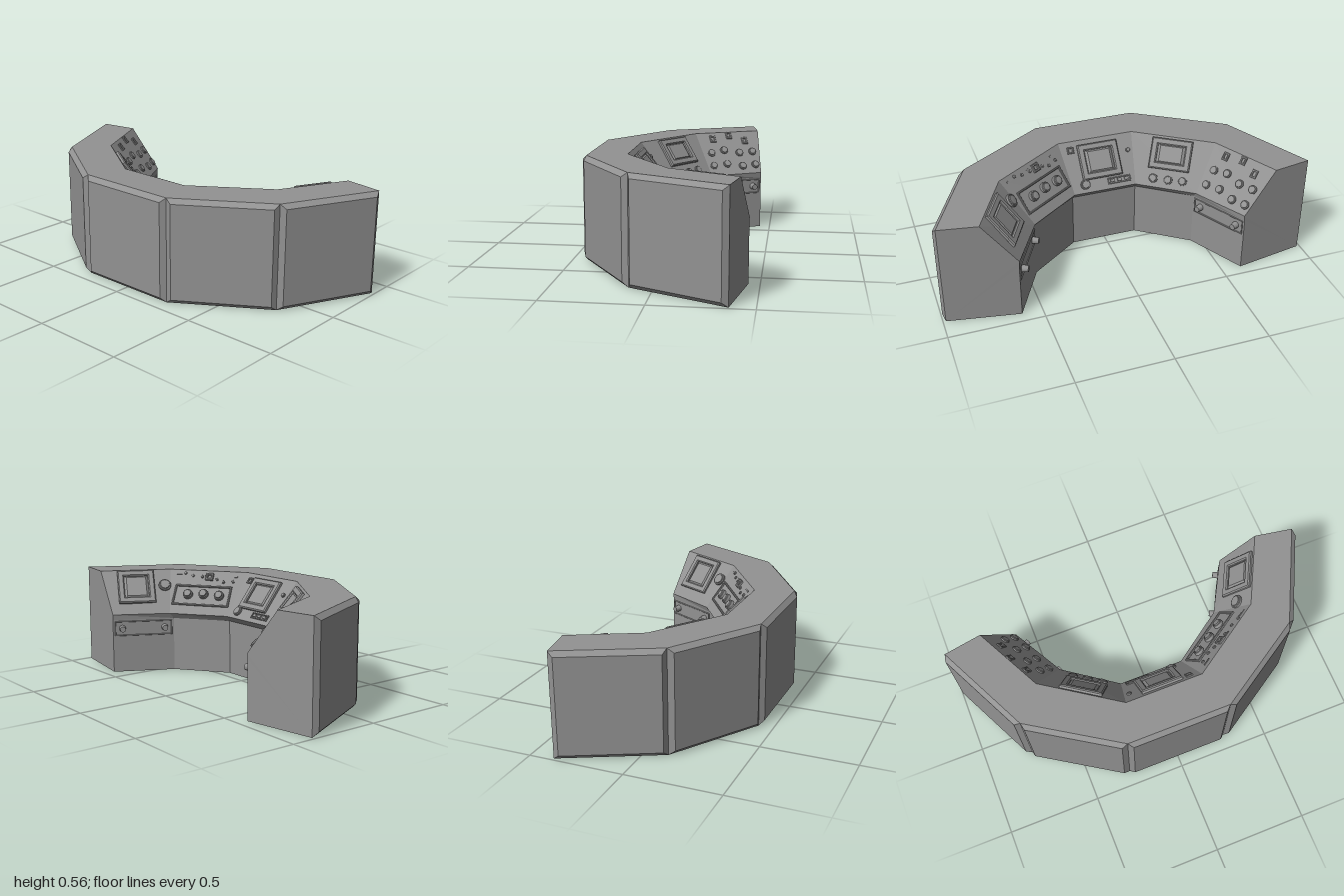
import * as THREE from 'three';

const V = (x, y, z) => new THREE.Vector3(x, y, z);
const grey = new THREE.MeshStandardMaterial({ color: 0x929292, flatShading: true, side: THREE.DoubleSide });
const TOP = 0.557, EDGE = 0.33, LIP = 0.3;

// Plan outlines [x, z] from the left end to the middle, mirrored to the right end
const mirror = (half) => [...half, ...half.slice().reverse().map(([x, z]) => [-x, z])];
const outer = mirror([[0.985, -0.376], [0.745, 0.12], [0.28, 0.42]]);
const crease = mirror([[0.782, -0.411], [0.6, -0.05], [0.21, 0.215]]);
const inner = mirror([[0.605, -0.444], [0.45, -0.163], [0.174, 0.034]]);
const wall = mirror([[0.608, -0.443], [0.448, -0.136], [0.18, 0.06]]);
const rail = (plan, y) => plan.map(([x, z]) => V(x, y, z));

function mesh(name, geometry) {
  const m = new THREE.Mesh(geometry, grey);
  m.name = name;
  return m;
}

// Flat polygons (convex corner loops) joined into one geometry
function faces(name, loops) {
  const pos = [];
  for (const p of loops)
    for (let i = 1; i < p.length - 1; i++)
      for (const q of [p[0], p[i], p[i + 1]]) pos.push(q.x, q.y, q.z);
  const g = new THREE.BufferGeometry();
  g.setAttribute('position', new THREE.Float32BufferAttribute(pos, 3));
  g.computeVertexNormals();
  return mesh(name, g);
}

// Strip of quads between an upper and a lower rail
const strip = (name, a, b) =>
  faces(name, a.slice(0, -1).map((p, i) => [p, a[i + 1], b[i + 1], b[i]]));

// Bevelled cladding panel between two outer corners
function panel(a, b) {
  const d = b.clone().sub(a).normalize();
  const out = V(-d.z, 0, d.x);
  if (out.dot(a.clone().add(b)) < 0) out.negate();
  const t = 0.024;
  const base = [a, b, b.clone().setY(TOP), a.clone().setY(TOP)];
  const face = base.map((p, i) => p.clone()
    .addScaledVector(d, i === 0 || i === 3 ? t : -t)
    .addScaledVector(out, t)
    .setY(i < 2 ? t : TOP - t));
  const loops = [face.slice().reverse()];
  for (let i = 0; i < 4; i++) {
    const j = (i + 1) % 4;
    loops.push([base[j], base[i], face[i], face[j]]);
  }
  return faces('outerPanel', loops);
}

// Local frame of a face: x along, y up the face, z outward
function frame(upper, lower, k) {
  const mid = (r) => r[k].clone().add(r[k + 1]).multiplyScalar(0.5);
  const u = upper[k + 1].clone().sub(upper[k]).normalize();
  const p = mid(lower);
  const v = mid(upper).sub(p);
  v.addScaledVector(u, -v.dot(u)).normalize();
  const n = u.clone().cross(v);
  const q = new THREE.Quaternion().setFromRotationMatrix(new THREE.Matrix4().makeBasis(u, v, n));
  return { u, n, p, q };
}

function box(name, w, h, d) {
  return mesh(name, new THREE.BoxGeometry(w, h, d).translate(0, 0, d / 2));
}

// Rectangular bezel with a hole
function bezel(name, w, h, rim, depth, b) {
  const s = new THREE.Shape();
  const rect = (path, x, y) =>
    path.moveTo(-x, -y).lineTo(x, -y).lineTo(x, y).lineTo(-x, y).closePath();
  rect(s, w / 2 - b, h / 2 - b);
  const hole = new THREE.Path();
  rect(hole, w / 2 - rim + b, h / 2 - rim + b);
  s.holes.push(hole);
  return mesh(name, new THREE.ExtrudeGeometry(s, {
    depth: depth - b, bevelEnabled: true, bevelSize: b, bevelThickness: b, bevelSegments: 1,
  }));
}

function monitor(w, h) {
  const g = new THREE.Group();
  g.name = 'monitor';
  const screen = new THREE.CylinderGeometry(0.56, 0.707, 0.012, 4, 1)
    .rotateY(Math.PI / 4).rotateX(Math.PI / 2).scale(w - 0.07, h - 0.06, 1).translate(0, 0, 0.008);
  g.add(bezel('monitorBezel', w, h, 0.036, 0.018, 0.006), mesh('screen', screen));
  return g;
}

// Round button: a low collar with a raised cap
function button(name, r, h) {
  const profile = [[r, 0], [r, h * 0.7], [r * 0.85, h * 0.8], [r * 0.75, h * 0.7],
    [r * 0.7, h], [0, h * 1.05]].map(([x, y]) => new THREE.Vector2(x, y));
  return mesh(name, new THREE.LatheGeometry(profile, 20).rotateX(Math.PI / 2));
}

export function createModel() {
  const model = new THREE.Group();
  model.name = 'controlDesk';
  const rTop = rail(outer, TOP), rCrease = rail(crease, TOP), rEdge = rail(inner, EDGE);
  const rLip = rail(wall, LIP), rFloor = rail(wall, 0), rBase = rail(outer, 0);

  // Desk shell, open underneath
  model.add(strip('deskTop', rTop, rCrease), strip('controlSlope', rCrease, rEdge),
    strip('underLip', rEdge, rLip), strip('innerWall', rLip, rFloor));
  for (let k = 0; k < 5; k++) model.add(panel(rBase[k], rBase[k + 1]));
  for (const k of [0, 5])
    model.add(faces('endCap', [[rBase[k], rTop[k], rCrease[k], rEdge[k], rLip[k], rFloor[k]]]));

  // Put an object on slope k at plan position x, z
  const slopes = [0, 1, 2, 3, 4].map((k) => frame(rCrease, rEdge, k));
  const put = (k, x, z, obj) => {
    const { n, p, q } = slopes[k];
    obj.position.set(x, p.y - (n.x * (x - p.x) + n.z * (z - p.z)) / n.y, z);
    obj.quaternion.copy(q);
    model.add(obj);
  };

  // Left end: monitor and dial
  put(0, 0.63, -0.268, monitor(0.21, 0.21));
  put(0, 0.56, -0.12, button('dial', 0.036, 0.018));

  // Left bay: framed button panel, lamps and switches
  put(1, 0.355, -0.005, bezel('buttonPanelFrame', 0.34, 0.13, 0.01, 0.01, 0.003));
  for (const [x, z] of [[0.27, 0.055], [0.35, 0.005], [0.425, -0.05]])
    put(1, x, z, button('panelButton', 0.028, 0.024));
  for (const [x, z] of [[0.25, 0.14], [0.295, 0.105], [0.335, 0.09], [0.415, 0.045], [0.465, 0.015], [0.51, -0.005]])
    put(1, x, z, button('lamp', 0.009, 0.008));
  put(1, 0.378, 0.07, bezel('squareKey', 0.045, 0.045, 0.012, 0.012, 0.003));
  for (const [x, z] of [[0.262, 0.155], [0.415, 0.054], [0.54, -0.03]])
    put(1, x, z, box('labelBar', 0.045, 0.008, 0.003));

  // Centre bay: monitor, key row, knob and small switches
  put(2, 0, 0.137, monitor(0.225, 0.195));
  put(2, -0.088, 0.06, bezel('keyRowFrame', 0.13, 0.034, 0.005, 0.007, 0.002));
  for (let i = -1; i <= 1; i++)
    put(2, -0.088 + i * 0.04, 0.06, box('key', 0.022, 0.016, 0.009));
  put(2, 0.105, 0.062, button('knob', 0.027, 0.014));
  put(2, -0.17, 0.155, button('lamp', 0.013, 0.01));
  put(2, 0.15, 0.185, bezel('squareKey', 0.036, 0.036, 0.008, 0.008, 0.002));

  // Right bay: monitor and three buttons
  put(3, -0.376, 0.03, monitor(0.225, 0.17));
  for (const [x, z] of [[-0.4, -0.086], [-0.333, -0.043], [-0.265, 0.003]])
    put(3, x, z, button('roundButton', 0.025, 0.012));

  // Right end: keypad of round buttons and switches
  for (const [x, z] of [[-0.67, -0.385], [-0.62, -0.408], [-0.63, -0.31], [-0.58, -0.335],
    [-0.6, -0.22], [-0.548, -0.245], [-0.555, -0.15], [-0.505, -0.17]])
    put(4, x, z, button('keypadButton', 0.024, 0.01));
  for (const [x, z] of [[-0.698, -0.335], [-0.678, -0.24], [-0.62, -0.15]])
    put(4, x, z, bezel('keypadSwitch', 0.035, 0.045, 0.01, 0.007, 0.002));

  // Framed panels with two knobs on the inner walls of both ends
  for (const k of [0, 4]) {
    const { u, p, q } = frame(rLip, rFloor, k);
    const add = (obj, along, y) => {
      obj.position.copy(p).addScaledVector(u, along).setY(y);
      obj.quaternion.copy(q);
      model.add(obj);
    };
    add(bezel('wallPanelFrame', 0.325, 0.085, 0.006, 0.005, 0.002), 0, 0.25);
    for (const s of [-0.12, 0.12])
      add(mesh('wallKnob', new THREE.CylinderGeometry(0.016, 0.019, 0.034, 16)
        .rotateX(Math.PI / 2).translate(0, 0, 0.017)), s, 0.25);
  }
  return model;
}
